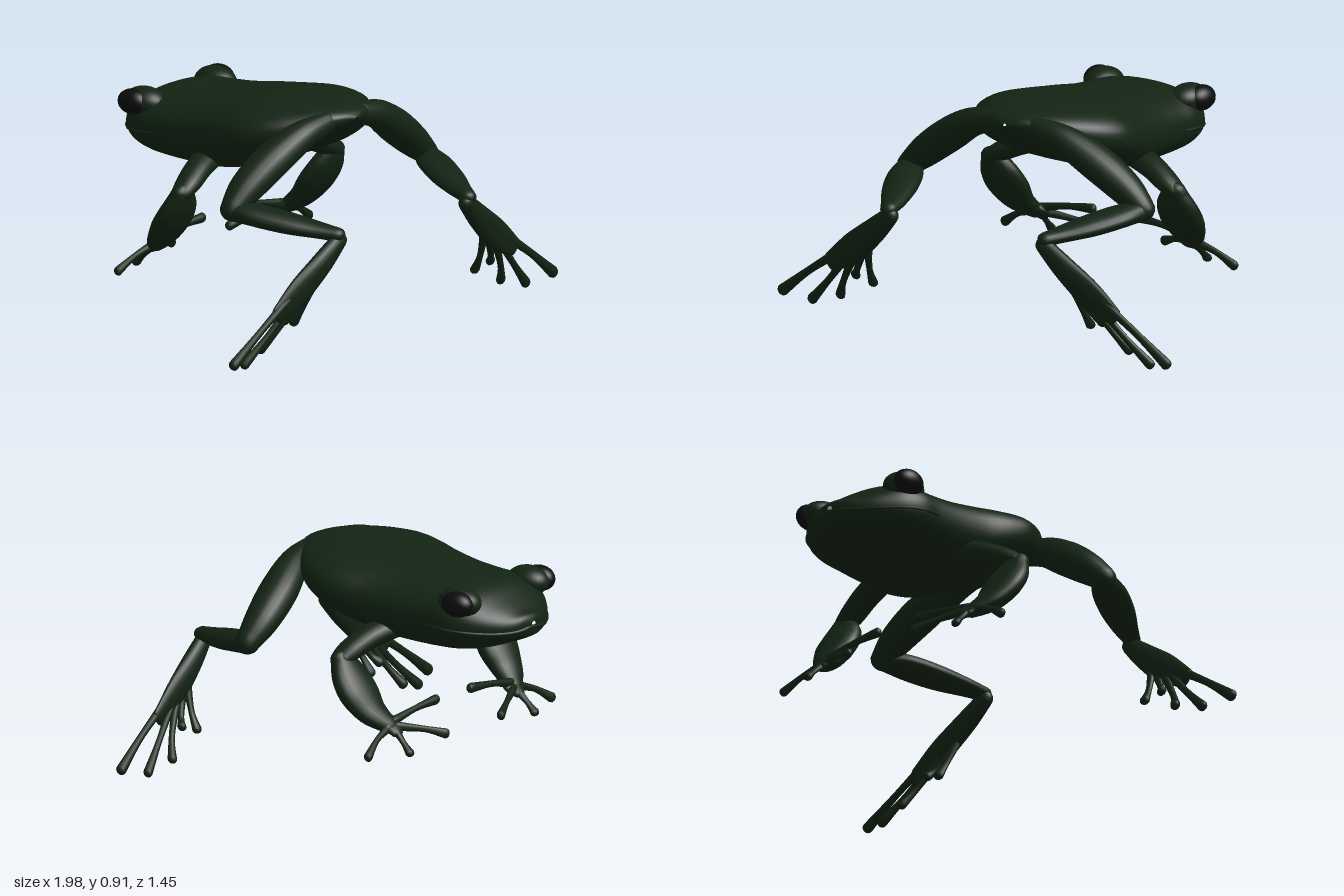
import * as THREE from 'three';

const skin = new THREE.MeshStandardMaterial({ color: 0x122313, roughness: 0.8 });
const eyeMat = new THREE.MeshStandardMaterial({ color: 0x0c0b0d, roughness: 0.6 });

// Smooth closed skin over rings of points
function loft(rings) {
  const n = rings[0].length, pos = [], idx = [];
  rings.forEach(r => r.forEach(p => pos.push(p.x, p.y, p.z)));
  for (let i = 0; i < rings.length - 1; i++) {
    for (let j = 0; j < n; j++) {
      const a = i * n + j, b = i * n + (j + 1) % n;
      idx.push(a, b, a + n, b, b + n, a + n);
    }
  }
  const g = new THREE.BufferGeometry();
  g.setAttribute('position', new THREE.Float32BufferAttribute(pos, 3));
  g.setIndex(idx);
  g.computeVertexNormals();
  return g;
}

// Smooth interpolation through rows of numbers
function sample(rows, t) {
  const f = Math.min(t, 0.99999) * (rows.length - 1), i = Math.floor(f), u = f - i;
  const at = k => rows[Math.max(0, Math.min(rows.length - 1, k))];
  return rows[0].map((_, c) => {
    const a = at(i - 1)[c], b = at(i)[c], d = at(i + 1)[c], e = at(i + 2)[c];
    return b + 0.5 * u * (d - a + u * (2 * a - 5 * b + 4 * d - e + u * (3 * (b - d) + e - a)));
  });
}

// Rounded limb through rows of [x, y, z, radius along hint, radius across]
function limb(name, rows, hint, s, sides = 20, steps = 28) {
  const rings = [];
  const point = t => { const r = sample(rows, t); return new THREE.Vector3(r[0] * s, r[1], r[2]); };
  const ring = (t, push, scale) => {
    const r = sample(rows, t);
    const dir = point(Math.min(1, t + 0.01)).sub(point(Math.max(0, t - 0.01))).normalize();
    const side = new THREE.Vector3(hint[0] * s, hint[1], hint[2]);
    side.addScaledVector(dir, -side.dot(dir)).normalize();
    const across = dir.clone().cross(side);
    const c = point(t).addScaledVector(dir, push * Math.min(r[3], r[4]));
    rings.push(Array.from({ length: sides }, (_, j) => {
      const a = j / sides * Math.PI * 2;
      return c.clone().addScaledVector(side, Math.cos(a) * r[3] * scale)
        .addScaledVector(across, Math.sin(a) * r[4] * scale);
    }));
  };
  const caps = [0.02, 0.35, 0.65, 0.88];
  caps.forEach(k => ring(0, -Math.sqrt(1 - k * k), k));
  for (let i = 0; i <= steps; i++) ring(i / steps, 0, 1);
  caps.reverse().forEach(k => ring(1, Math.sqrt(1 - k * k), k));
  const m = new THREE.Mesh(loft(rings), skin);
  m.name = name;
  return m;
}

// Thin digit ending in a rounded pad
function digit(name, pts, s, r = 0.017) {
  const sizes = [r * 1.2, r * 0.8, r * 1.25];
  const rows = pts.map((p, i) => [...p, sizes[i] * 0.8, sizes[i]]);
  return limb(name, rows, [0, 0, 1], s, 10, 12);
}

// Body stations: z, half width, top, bottom
const BODY = [
  [-0.728, 0.012, 0.715, 0.69], [-0.715, 0.075, 0.74, 0.655], [-0.68, 0.14, 0.757, 0.635],
  [-0.63, 0.205, 0.79, 0.615], [-0.56, 0.265, 0.835, 0.59], [-0.48, 0.295, 0.86, 0.573],
  [-0.38, 0.295, 0.868, 0.564], [-0.25, 0.302, 0.88, 0.563], [-0.12, 0.32, 0.9, 0.573],
  [0, 0.355, 0.912, 0.61], [0.1, 0.362, 0.921, 0.645], [0.2, 0.325, 0.921, 0.685],
  [0.29, 0.255, 0.916, 0.73], [0.36, 0.175, 0.905, 0.785], [0.41, 0.09, 0.888, 0.83],
  [0.435, 0.012, 0.866, 0.855],
];
function bodyPoint(t, a, grow = 0) {
  const [z, w, top, low] = sample(BODY, t);
  const mid = low + (top - low) * 0.5, h = (top - low) / 2;
  const c = Math.cos(a), q = Math.sin(a);
  const soft = v => Math.sign(v) * Math.abs(v) ** 0.88;
  return new THREE.Vector3(soft(c) * (w + grow), mid + soft(q) * (h + grow), z);
}

export function createModel() {
  const root = new THREE.Group();
  root.name = 'frog';
  const rings = [];
  for (let i = 0; i <= 70; i++) {
    rings.push(Array.from({ length: 56 }, (_, j) => bodyPoint(i / 70, j / 28 * Math.PI)));
  }
  const body = new THREE.Mesh(loft(rings), skin);
  body.name = 'body';
  root.add(body);

  // Lip line running round the snout
  const lipPts = [];
  for (let i = -16; i <= 16; i++) {
    const t = 0.03 + Math.abs(i) / 16 * 0.36, a = -0.3 + Math.abs(i) / 16 * 0.25;
    lipPts.push(bodyPoint(t, i < 0 ? Math.PI - a : a, -0.003));
  }
  const lip = new THREE.Mesh(new THREE.TubeGeometry(new THREE.CatmullRomCurve3(lipPts), 80, 0.008, 8), skin);
  lip.name = 'lip';
  root.add(lip);

  for (const s of [1, -1]) {
    const side = s > 0 ? 'left' : 'right';
    const ball = (name, mat, p, r) => {
      const m = new THREE.Mesh(new THREE.SphereGeometry(1, 28, 20), mat);
      m.name = name;
      m.position.set(p[0] * s, p[1], p[2]);
      m.scale.set(...r);
      root.add(m);
    };
    ball(side + 'Eye', eyeMat, [0.26, 0.808, -0.542], [0.052, 0.053, 0.072]);
    ball(side + 'Brow', skin, [0.215, 0.805, -0.52], [0.075, 0.061, 0.095]);

    // Hind leg
    const hind = new THREE.Group();
    hind.name = side + 'HindLeg';
    hind.add(
      limb('thigh', [[0.1, 0.85, 0.365, 0.04, 0.045], [0.23, 0.815, 0.34, 0.065, 0.06],
        [0.37, 0.735, 0.305, 0.082, 0.072], [0.5, 0.645, 0.285, 0.073, 0.067],
        [0.59, 0.572, 0.285, 0.05, 0.05]], [0, 0, 1], s),
      limb('shin', [[0.59, 0.565, 0.28, 0.045, 0.042], [0.545, 0.553, 0.37, 0.073, 0.042],
        [0.485, 0.53, 0.49, 0.073, 0.04], [0.43, 0.51, 0.6, 0.055, 0.032],
        [0.395, 0.497, 0.685, 0.035, 0.028]], [1, 0, 0], s),
      limb('foot', [[0.385, 0.475, 0.682, 0.03, 0.036], [0.48, 0.39, 0.67, 0.033, 0.053],
        [0.6, 0.295, 0.655, 0.026, 0.062], [0.72, 0.215, 0.645, 0.014, 0.04]], [0, 0, 1], s),
    );
    [
      [[0.62, 0.3, 0.655], [0.82, 0.17, 0.645], [0.97, 0.057, 0.632]],
      [[0.62, 0.27, 0.65], [0.74, 0.14, 0.62], [0.855, 0.028, 0.587]],
      [[0.6, 0.26, 0.65], [0.68, 0.14, 0.607], [0.73, 0.062, 0.563]],
      [[0.56, 0.27, 0.655], [0.6, 0.2, 0.625], [0.625, 0.17, 0.6]],
      [[0.52, 0.31, 0.66], [0.54, 0.21, 0.62], [0.55, 0.145, 0.583]],
    ].forEach((p, i) => hind.add(digit('toe' + (i + 1), p, s, i === 0 ? 0.02 : 0.018)));

    // Front leg
    const front = new THREE.Group();
    front.name = side + 'FrontLeg';
    front.add(
      limb('upperArm', [[0.2, 0.645, -0.17, 0.06, 0.05], [0.32, 0.615, -0.135, 0.058, 0.047],
        [0.41, 0.575, -0.11, 0.055, 0.043], [0.465, 0.545, -0.1, 0.045, 0.035]], [0, 0, 1], s),
      limb('forearm', [[0.46, 0.545, -0.1, 0.055, 0.04], [0.45, 0.48, -0.13, 0.093, 0.05],
        [0.44, 0.41, -0.175, 0.104, 0.054], [0.425, 0.34, -0.23, 0.08, 0.046],
        [0.39, 0.285, -0.295, 0.045, 0.03]], [1, 0, 0], s),
      limb('palm', [[0.4, 0.305, -0.275, 0.045, 0.03], [0.385, 0.28, -0.305, 0.055, 0.022],
        [0.385, 0.258, -0.33, 0.032, 0.016]], [1, 0, 0], s),
    );
    [
      [[0.37, 0.3, -0.3], [0.24, 0.325, -0.305], [0.11, 0.335, -0.305]],
      [[0.37, 0.28, -0.315], [0.26, 0.255, -0.37], [0.175, 0.225, -0.41]],
      [[0.385, 0.27, -0.32], [0.392, 0.225, -0.37], [0.395, 0.19, -0.405]],
      [[0.41, 0.28, -0.305], [0.5, 0.25, -0.32], [0.58, 0.2, -0.34]],
    ].forEach((p, i) => front.add(digit('finger' + (i + 1), p, s)));
    root.add(hind, front);
  }
  return root;
}
